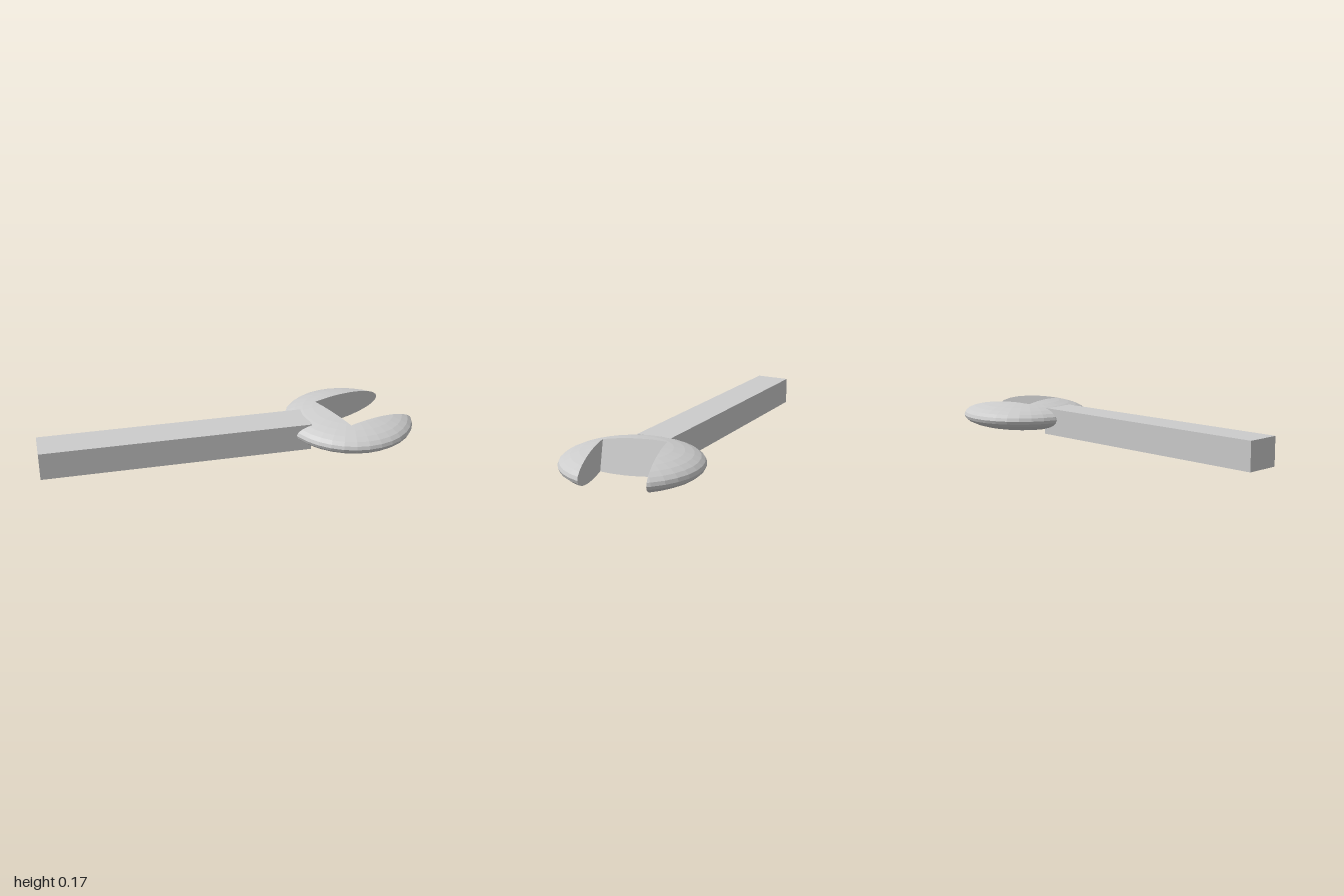
import * as THREE from 'three';

const V = (x, y, z) => new THREE.Vector3(x, y, z);

// Keep the part of a convex polygon where n.p <= d
function clip(poly, { n, d }) {
  const out = [];
  poly.forEach((a, i) => {
    const b = poly[(i + 1) % poly.length];
    const da = n.dot(a) - d, db = n.dot(b) - d;
    if (da <= 0) out.push(a);
    if (da * db < 0) out.push(a.clone().lerp(b, da / (da - db)));
  });
  return out;
}
const clipAll = (poly, planes) => planes.reduce(clip, poly);
const flip = ({ n, d }) => ({ n: n.clone().negate(), d: -d });

// Flat-faced ellipsoid as a list of planar polygons
function ellipsoidFaces(c, r, segs, rings) {
  const at = (i, j) => {
    const t = (Math.PI * i) / rings, p = (2 * Math.PI * j) / segs;
    return V(Math.sin(t) * Math.cos(p), Math.cos(t), Math.sin(t) * Math.sin(p)).multiply(r).add(c);
  };
  const faces = [];
  for (let i = 0; i < rings; i++) {
    for (let j = 0; j < segs; j++) {
      const poly = [at(i, j)];
      if (i > 0) poly.push(at(i, j + 1));
      poly.push(at(i + 1, j + 1));
      if (i < rings - 1) poly.push(at(i + 1, j));
      const n = poly[1].clone().sub(poly[0]).cross(poly[2].clone().sub(poly[0])).normalize();
      if (n.dot(poly[0].clone().sub(c)) < 0) n.negate();
      faces.push({ poly, plane: { n, d: n.dot(poly[0]) } });
    }
  }
  return faces;
}

// Ellipsoid head with a slanted open slot cut out of it
function headGeometry() {
  const centre = V(0.653, 0.0895, 0);
  const faces = ellipsoidFaces(centre, V(0.345, 0.0865, 0.352), 32, 16);
  const hull = faces.map((f) => f.plane);

  // Slot planes: u runs along the slot, v across it
  const a = THREE.MathUtils.degToRad(18);
  const u = V(Math.cos(a), 0, -Math.sin(a)), v = V(Math.sin(a), 0, Math.cos(a));
  const lean = 0.43, len = Math.hypot(1, lean);
  const floor = { n: u.clone().add(V(0, lean, 0)).divideScalar(len), d: (0.538 + lean * centre.y) / len };
  const backWall = { n: v, d: 0.059 };
  const frontWall = { n: v.clone().negate(), d: -0.377 };

  const pos = [];
  const add = (poly, n) => {
    if (poly.length < 3) return;
    const area = V(0, 0, 0);
    for (let i = 1; i < poly.length - 1; i++) {
      area.add(poly[i].clone().sub(poly[0]).cross(poly[i + 1].clone().sub(poly[0])));
    }
    const ring = area.dot(n) < 0 ? [...poly].reverse() : poly;
    for (let i = 1; i < ring.length - 1; i++) {
      for (const p of [ring[0], ring[i], ring[i + 1]]) pos.push(p.x, p.y, p.z);
    }
  };

  // Outer skin: neck, back jaw, front jaw
  for (const { poly, plane } of faces) {
    add(clip(poly, floor), plane.n);
    add(clipAll(poly, [flip(floor), backWall]), plane.n);
    add(clipAll(poly, [flip(floor), frontWall]), plane.n);
  }

  // Slot faces: a large square on each plane, trimmed to the head
  const cap = (plane, limits) => {
    const o = centre.clone().addScaledVector(plane.n, plane.d - plane.n.dot(centre));
    const s = V(0, 1, 0).cross(plane.n).normalize(), t = plane.n.clone().cross(s);
    const square = [[-1, -1], [1, -1], [1, 1], [-1, 1]]
      .map(([p, q]) => o.clone().addScaledVector(s, p).addScaledVector(t, q));
    add(clipAll(square, [...limits, ...hull]), plane.n);
  };
  cap(floor, [flip(backWall), flip(frontWall)]);
  cap(backWall, [flip(floor)]);
  cap(frontWall, [flip(floor)]);

  const g = new THREE.BufferGeometry();
  g.setAttribute('position', new THREE.Float32BufferAttribute(pos, 3));
  g.computeVertexNormals();
  return g;
}

export function createModel() {
  const group = new THREE.Group();
  group.name = 'wrench';
  const steel = new THREE.MeshStandardMaterial({ color: 0xcccccc });
  steel.name = 'steel grey';

  // Square bar handle
  const handle = new THREE.Mesh(new THREE.BoxGeometry(1.412, 0.145, 0.184), steel);
  handle.name = 'handle';
  handle.position.set(-0.294, 0.0745, 0.031);

  // Open jaw head
  const head = new THREE.Mesh(headGeometry(), steel);
  head.name = 'jawHead';

  group.add(handle, head);
  return group;
}
